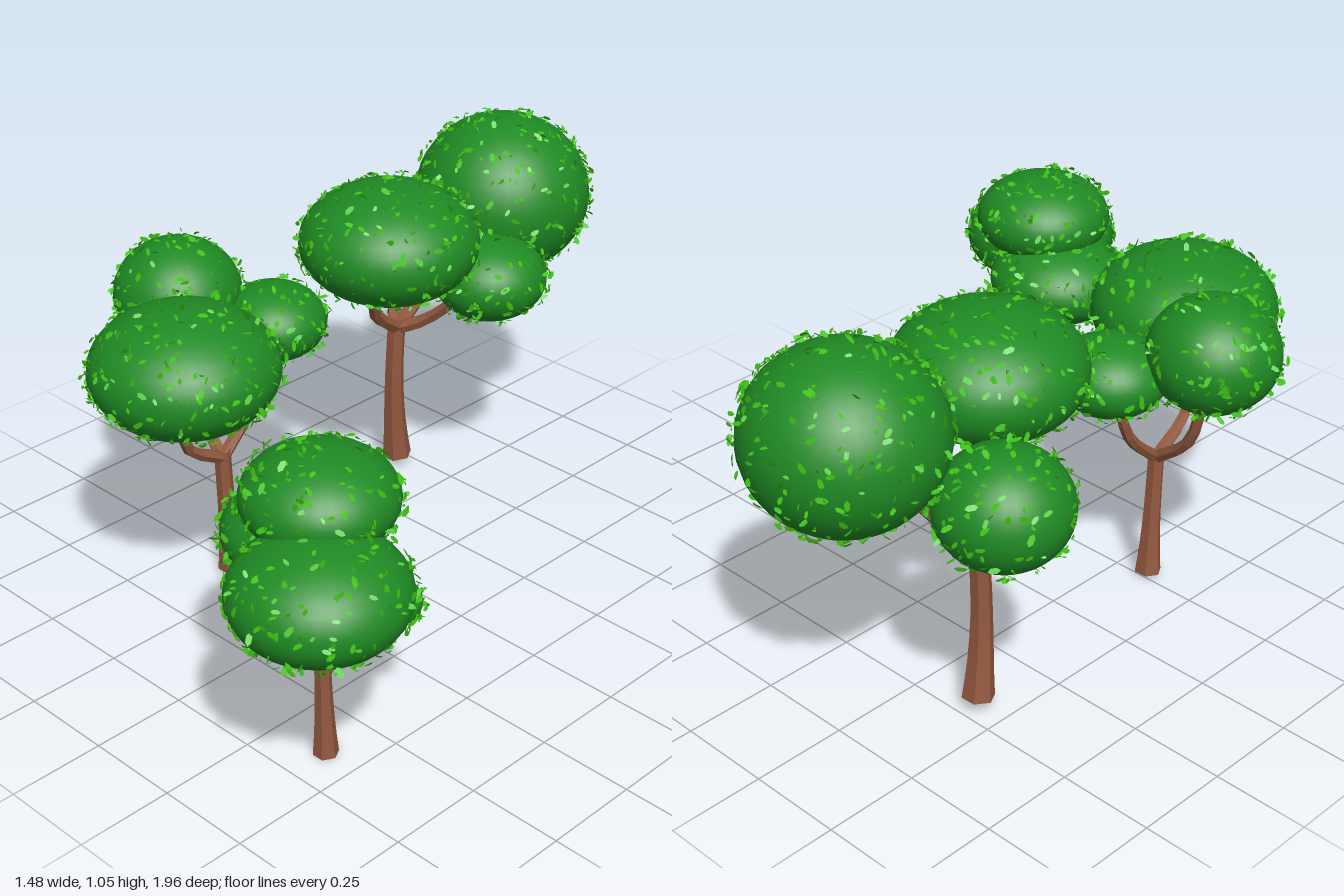
import * as THREE from 'three';
import { mergeGeometries } from 'three/addons/utils/BufferGeometryUtils.js';

const bark = new THREE.MeshStandardMaterial({ color: 0x93593f, flatShading: true });
const foliage = new THREE.MeshStandardMaterial({ color: 0x1f8a24 });
const leafGreen = new THREE.MeshStandardMaterial({ color: 0x3fc414, side: THREE.DoubleSide });
const vec = (x, y, z) => new THREE.Vector3(x, y, z);

let seed = 7;
const rand = () => {
  seed = (seed * 16807) % 2147483647;
  return seed / 2147483647;
};
const range = (a, b) => a + (b - a) * rand();

// Tapered six-sided limb along a path; radiusAt(t) gives its thickness
function limb(path, radiusAt, name) {
  const curve = new THREE.CatmullRomCurve3(path);
  const rings = 8, sides = 6;
  const geo = new THREE.TubeGeometry(curve, rings, 1, sides);
  const pos = geo.attributes.position, v = vec();
  for (let i = 0; i <= rings; i++) {
    const centre = curve.getPointAt(i / rings);
    for (let j = 0; j <= sides; j++) {
      const k = i * (sides + 1) + j;
      v.fromBufferAttribute(pos, k).sub(centre).multiplyScalar(radiusAt(i / rings)).add(centre);
      pos.setXYZ(k, v.x, v.y, v.z);
    }
  }
  const mesh = new THREE.Mesh(geo, bark);
  mesh.name = name;
  return mesh;
}

// Small pointed leaf, slightly folded along its middle
function makeLeaf() {
  const geo = new THREE.CircleGeometry(1, 6);
  const pos = geo.attributes.position;
  for (let i = 0; i < pos.count; i++) {
    const y = pos.getY(i);
    pos.setXYZ(i, pos.getX(i), y * 0.5, Math.abs(y) * 0.2);
  }
  return geo;
}

// Loose leaves scattered over an ellipsoid canopy
function scatterLeaves(centre, r, h) {
  const count = Math.round(60 + 7500 * r * (r + h) / 2);
  const leaf = makeLeaf(), parts = [], dummy = new THREE.Object3D();
  for (let i = 0; i < count; i++) {
    const up = range(-1, 1), a = range(0, Math.PI * 2), s = Math.sqrt(1 - up * up);
    const n = vec(s * Math.cos(a), up, s * Math.sin(a));
    const lift = range(0, 0.012);
    dummy.position.copy(n).multiply(vec(r + lift, h + lift, r + lift)).add(centre);
    const facing = n.divide(vec(r, h, r)).normalize();
    facing.add(vec(range(-1, 1), range(-1, 1), range(-1, 1))).normalize();
    dummy.quaternion.setFromUnitVectors(vec(0, 0, 1), facing);
    dummy.rotateZ(range(0, Math.PI * 2));
    dummy.scale.setScalar(range(0.007, 0.016));
    dummy.updateMatrix();
    parts.push(leaf.clone().applyMatrix4(dummy.matrix));
  }
  const mesh = new THREE.Mesh(mergeGeometries(parts), leafGreen);
  mesh.name = 'leaves';
  return mesh;
}

// Trunk bowed gently in z, flaring towards the ground, with a closed foot
function makeTree(name, base, top, width, bow) {
  const tree = new THREE.Group();
  tree.name = name;
  const trunkAt = (t) => base.clone().lerp(top, t).add(vec(0, 0, bow * Math.sin(Math.PI * t)));
  const path = [0, 0.25, 0.5, 0.75, 1].map(trunkAt);
  tree.add(limb(path, (t) => width * (0.62 + 0.38 * (1 - t) ** 3), 'trunk'));

  const foot = new THREE.Mesh(new THREE.CircleGeometry(width, 6), bark);
  foot.rotation.x = Math.PI / 2;
  foot.position.copy(base);
  foot.name = 'trunkFoot';
  tree.add(foot);

  // A branch leaves the trunk at height t, bends at the elbow and carries a canopy
  tree.userData.addCrown = (centre, r, h, elbow, t = 0.93) => {
    const inside = centre.clone().lerp(elbow, 0.2);
    tree.add(limb([trunkAt(t), elbow, inside], (s) => width * (0.5 - 0.18 * s), 'branch'));

    const canopy = new THREE.Mesh(new THREE.SphereGeometry(1, 32, 20), foliage);
    canopy.position.copy(centre);
    canopy.scale.set(r, h, r);
    canopy.name = 'canopy';
    tree.add(canopy, scatterLeaves(centre, r, h));
  };
  return tree;
}

export function createModel() {
  const model = new THREE.Group();
  model.name = 'treeGroup';

  // Tall tree at the back with four canopies
  const back = makeTree('backTree', vec(-0.42, 0.03, -0.45), vec(-0.41, 0.48, -0.44), 0.042, 0.012);
  const backCrown = back.userData.addCrown;
  backCrown(vec(-0.28, 0.815, -0.725), 0.242, 0.222, vec(-0.38, 0.56, -0.54));
  backCrown(vec(-0.28, 0.81, -0.275), 0.242, 0.158, vec(-0.38, 0.55, -0.32));
  backCrown(vec(-0.565, 0.665, -0.515), 0.165, 0.145, vec(-0.46, 0.53, -0.47));
  backCrown(vec(-0.125, 0.68, -0.505), 0.155, 0.113, vec(-0.33, 0.49, -0.47));

  // Middle tree with three canopies
  const middle = makeTree('middleTree', vec(-0.34, 0.01, 0.27), vec(-0.34, 0.38, 0.285), 0.036, 0);
  const middleCrown = middle.userData.addCrown;
  middleCrown(vec(-0.275, 0.705, 0.45), 0.242, 0.16, vec(-0.33, 0.44, 0.41));
  middleCrown(vec(-0.54, 0.75, 0.24), 0.168, 0.147, vec(-0.46, 0.46, 0.265));
  middleCrown(vec(-0.35, 0.68, 0.085), 0.142, 0.1, vec(-0.35, 0.47, 0.16));

  // Short tree at the front with three canopies and a low tuft
  const front = makeTree('frontTree', vec(0.405, 0, 0.64), vec(0.402, 0.37, 0.645), 0.032, 0);
  const frontCrown = front.userData.addCrown;
  frontCrown(vec(0.515, 0.56, 0.755), 0.212, 0.138, vec(0.55, 0.395, 0.745));
  frontCrown(vec(0.385, 0.695, 0.625), 0.185, 0.118, vec(0.4, 0.45, 0.63));
  frontCrown(vec(0.285, 0.55, 0.585), 0.192, 0.118, vec(0.34, 0.41, 0.605));
  frontCrown(vec(0.45, 0.375, 0.48), 0.085, 0.053, vec(0.43, 0.28, 0.535), 0.74);

  for (const tree of [back, middle, front]) {
    delete tree.userData.addCrown;
    model.add(tree);
  }
  return model;
}
